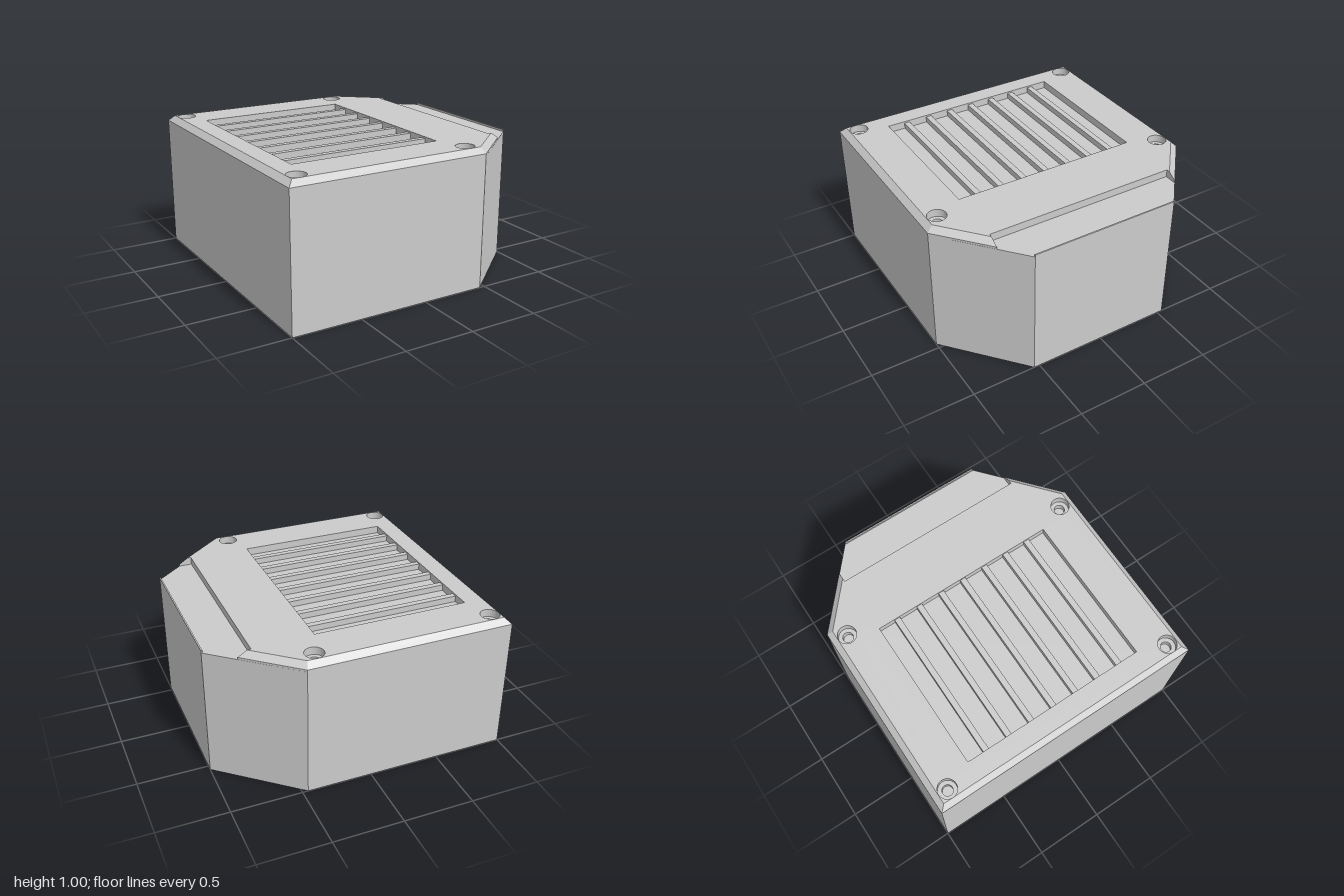
import * as THREE from 'three';

const FLOOR = 0.945, EDGE = 0.96, TOP = 1;

export function createModel() {
  const model = new THREE.Group();
  const mat = new THREE.MeshStandardMaterial({ color: 0xcccccc, flatShading: true });
  const add = (name, geometry) => {
    const mesh = new THREE.Mesh(geometry, mat);
    mesh.name = name;
    model.add(mesh);
    return mesh;
  };

  // Outlines are symmetric in z; list one half and mirror it
  const mirrored = (half) => [
    ...half.map(([x, y]) => new THREE.Vector2(x, -y)),
    ...half.slice().reverse().map(([x, y]) => new THREE.Vector2(x, y)),
  ];
  const slab = (points, holes, y0, y1) => {
    const shape = new THREE.Shape(points);
    shape.holes.push(...holes);
    const g = new THREE.ExtrudeGeometry(shape, { depth: y1 - y0, bevelEnabled: false, curveSegments: 20 });
    return g.rotateX(-Math.PI / 2).translate(0, y0, 0);
  };
  const screwSpots = [[-0.893, 0.888], [0.37, 0.888], [-0.893, -0.888], [0.37, -0.888]];
  const circles = (r) => screwSpots.map(([x, y]) => new THREE.Path().absarc(x, y, r, 0, Math.PI * 2, true));

  // Body with two cut corners; the upper layer holds the screw bores
  const outline = mirrored([[-1, 1], [0.46, 1], [1, 0.54]]);
  add('body', slab(outline, [], 0, 0.9));
  add('bodyDeck', slab(outline, circles(0.037), 0.9, FLOOR));

  // Lid plate with vent opening and screw recesses
  const inner = mirrored([[-0.96, 0.958], [0.444, 0.958], [0.747, 0.7], [0.72, 0.7]]);
  const x0 = -0.82, x1 = 0.285, vz = 0.682;
  const vent = new THREE.Path([[x0, -vz], [x0, vz], [x1, vz], [x1, -vz]].map((p) => new THREE.Vector2(...p)));
  add('lidPlate', slab(inner, [vent, ...circles(0.066)], FLOOR, TOP));

  // Chamfered rim around the lid: vertical band, then slope
  const outer = mirrored([[-1, 1], [0.46, 1], [0.81, 0.7], [0.72, 0.7]]);
  const rings = [[outer, FLOOR], [outer, EDGE], [inner, TOP]];
  const pos = [];
  for (let r = 0; r < 2; r++) {
    for (let i = 0; i < outer.length; i++) {
      const j = (i + 1) % outer.length;
      const at = (ring, k) => [ring[0][k].x, ring[1], -ring[0][k].y];
      const a = at(rings[r], i), b = at(rings[r], j), c = at(rings[r + 1], j), d = at(rings[r + 1], i);
      pos.push(...a, ...b, ...c, ...a, ...c, ...d);
    }
  }
  const rim = new THREE.BufferGeometry();
  rim.setAttribute('position', new THREE.Float32BufferAttribute(pos, 3));
  rim.computeVertexNormals();
  add('lidRim', rim);

  // Vent slats, slightly below the lid surface
  const slatTop = TOP - 0.012;
  for (let i = -3; i <= 3; i++) {
    const slat = add('ventSlat', new THREE.BoxGeometry(x1 - x0, slatTop - FLOOR, 0.042));
    slat.position.set((x0 + x1) / 2, (slatTop + FLOOR) / 2, i * 0.179 - 0.003);
  }

  // Thin lip closing the side notch
  add('notchLip', new THREE.BoxGeometry(0.01, EDGE - FLOOR, 1.08)).position.set(0.995, (EDGE + FLOOR) / 2, 0);

  return model;
}
